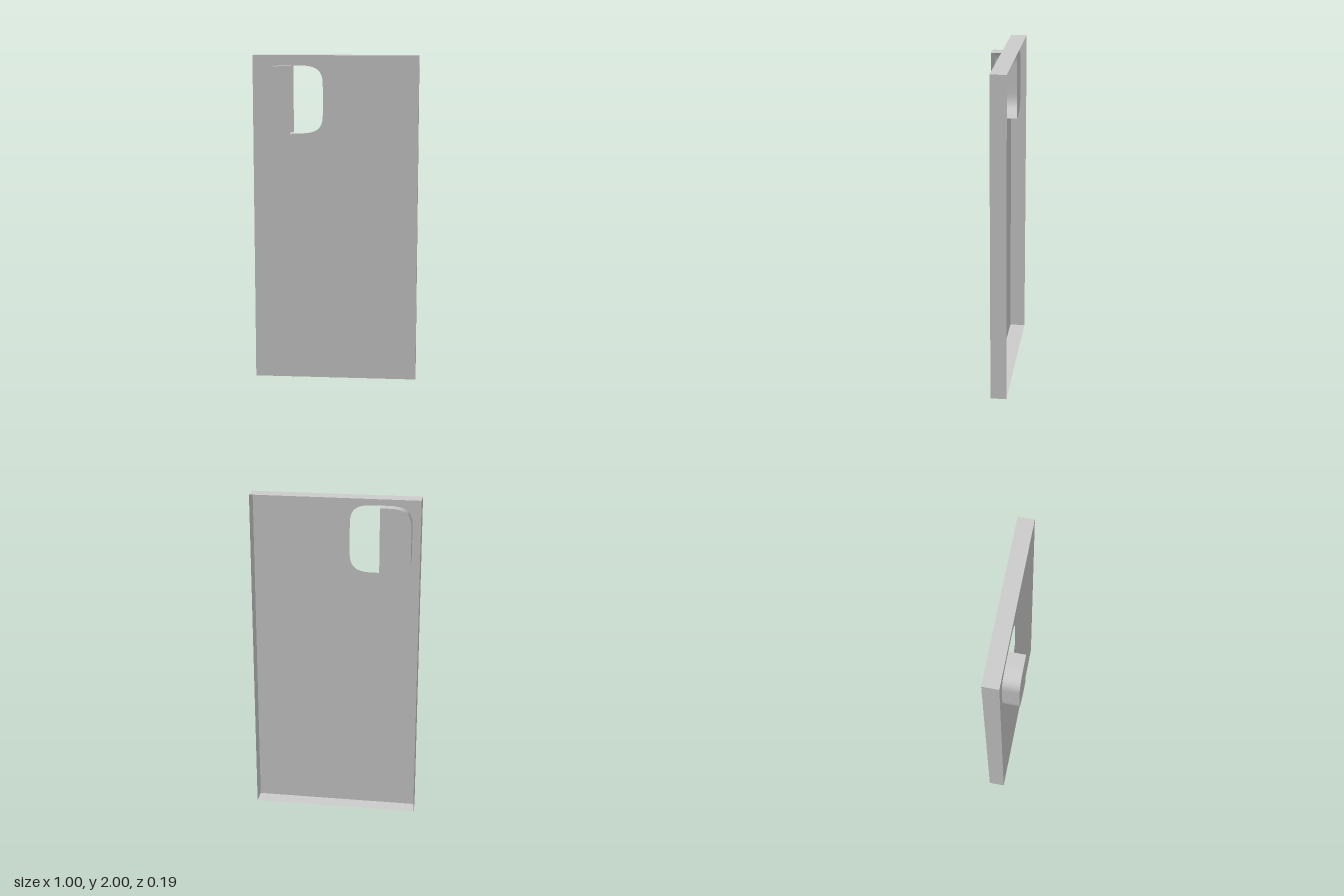
import * as THREE from 'three';

const DEPTH = 0.096;        // wall depth, and how far the pod stands out in front
const POD_BACK = -0.065;    // rear face of the pod
const CX = -0.26, CY = 1.735, HW = 0.184, HH = 0.204; // opening centre and half sizes

const material = new THREE.MeshStandardMaterial({ color: 0xcccccc, side: THREE.DoubleSide });

// Soft rounded corner in the quadrant (sx, sy), from the side towards top or bottom
function corner(sx, sy) {
  const p = (x, y) => new THREE.Vector2(CX + sx * x, CY + sy * y);
  return new THREE.CubicBezierCurve(p(HW, 0.085), p(HW, 0.17), p(0.155, HH), p(0.045, HH)).getPoints(12);
}

// Thin strip following a 2D outline between two depths
function ribbon(points, z0, z1, smooth) {
  const pos = [], index = [];
  points.forEach((p, i) => {
    pos.push(p.x, p.y, z0, p.x, p.y, z1);
    const a = 2 * i;
    if (i < points.length - 1) index.push(a, a + 2, a + 1, a + 1, a + 2, a + 3);
  });
  let g = new THREE.BufferGeometry();
  g.setAttribute('position', new THREE.Float32BufferAttribute(pos, 3));
  g.setIndex(index);
  if (!smooth) g = g.toNonIndexed();
  g.computeVertexNormals();
  return g;
}

export function createModel() {
  const group = new THREE.Group();
  const add = (name, geometry, z = 0) => {
    const mesh = new THREE.Mesh(geometry, material);
    mesh.name = name;
    mesh.position.z = z;
    group.add(mesh);
  };

  // Half outline of the opening, counterclockwise from top middle to bottom middle
  const half = [
    new THREE.Vector2(CX, CY + HH),
    ...corner(-1, 1).reverse(),
    ...corner(-1, -1),
    new THREE.Vector2(CX, CY - HH),
  ];
  const otherHalf = [...corner(1, -1).reverse(), ...corner(1, 1)];

  // Front panel with the rounded opening
  const rim = [[-0.5, 0], [0.5, 0], [0.5, 2], [-0.5, 2]].map(([x, y]) => new THREE.Vector2(x, y));
  const panel = new THREE.Shape(rim);
  panel.holes.push(new THREE.Path([...half, ...otherHalf]));
  add('frontPanel', new THREE.ShapeGeometry(panel));

  // Thin walls running back from the panel edges
  add('sideWalls', ribbon([...rim, rim[0]], -DEPTH, 0, false));

  // Half pod through the opening: curved wall and two caps, open on its cut side
  add('podWall', ribbon(half, DEPTH, POD_BACK, true));
  const cap = new THREE.ShapeGeometry(new THREE.Shape(half));
  add('podFrontCap', cap, DEPTH);
  const backCap = cap.clone().scale(-1, 1, 1).rotateY(Math.PI); // faces the rear
  add('podBackCap', backCap, POD_BACK);

  return group;
}
